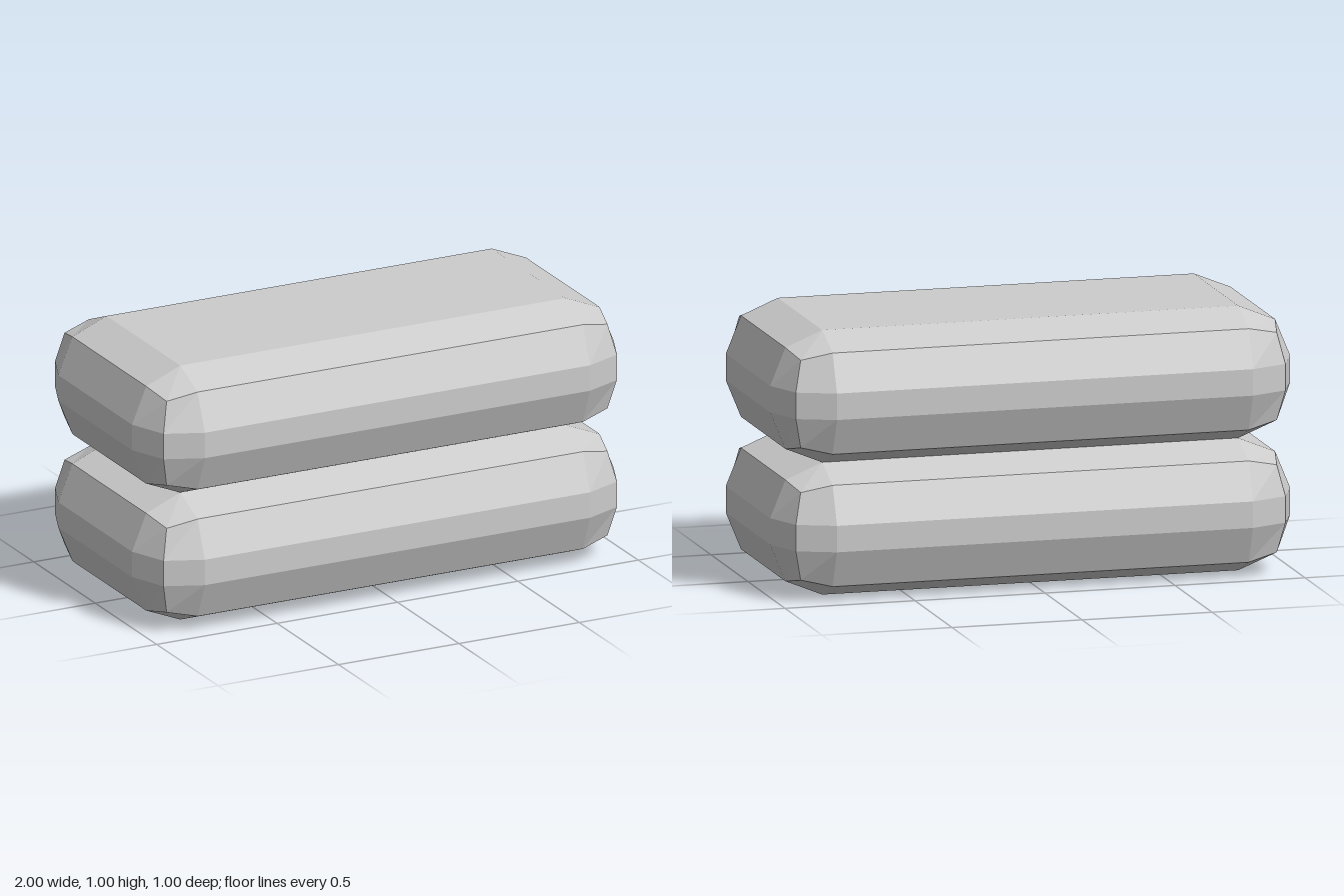
import * as THREE from 'three';
import { RoundedBoxGeometry } from 'three/addons/geometries/RoundedBoxGeometry.js';

export function createModel() {
  const model = new THREE.Group();
  model.name = 'stackedCushions';

  const height = 0.5;
  const material = new THREE.MeshStandardMaterial({ color: 0xcccccc, flatShading: true });
  // One bevel segment gives a single 45 degree ridge along each edge
  const slab = new RoundedBoxGeometry(2, height, 1, 1, 0.2);

  // Two identical slabs, one resting on the other
  ['lowerCushion', 'upperCushion'].forEach((name, i) => {
    const mesh = new THREE.Mesh(slab, material);
    mesh.name = name;
    mesh.position.y = height * (i + 0.5);
    model.add(mesh);
  });

  return model;
}
